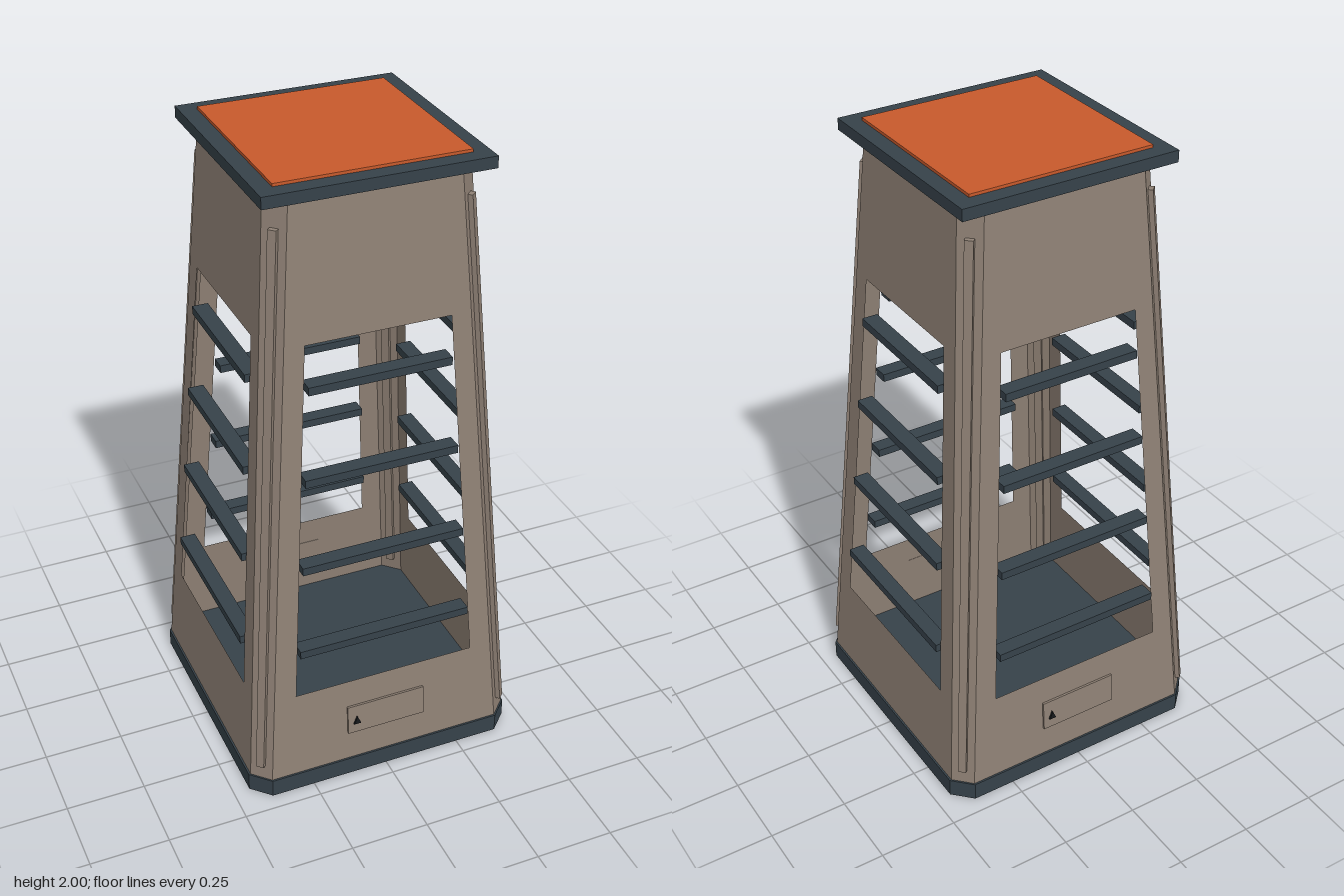
import * as THREE from 'three';

const mat = (name, color, opts = {}) => {
  const m = new THREE.MeshStandardMaterial({ color, ...opts });
  m.name = name;
  return m;
};

// Tapered body: half width of the wall at height y
const BOTTOM = 0.06, TOP = 1.955, BEVEL = 0.053;
const half = (y) => 0.442 - 0.0697 * (y - BOTTOM);
// Distance from the axis to the bevelled corner face
const cornerDist = (y) => (half(y) - BEVEL / 2) * Math.SQRT2;

// Push every vertex outward in z by a rule of its height, so it follows the slope
function lean(geometry, rule) {
  const p = geometry.attributes.position;
  for (let i = 0; i < p.count; i++) p.setZ(i, p.getZ(i) + rule(p.getY(i)));
  geometry.computeVertexNormals();
  return geometry;
}

const polygon = (points, Type = THREE.Shape) => new Type(points.map(([x, y]) => new THREE.Vector2(x, y)));
const trapezoid = (w0, y0, w1, y1, Type) => polygon([[-w0, y0], [w0, y0], [w1, y1], [-w1, y1]], Type);

export function createModel() {
  const model = new THREE.Group();
  model.name = 'slattedTower';

  const timber = mat('taupe', 0x8f8175, { side: THREE.DoubleSide });
  const steel = mat('dark slate', 0x36424a);
  const orange = mat('orange', 0xc85a2c);
  const black = mat('black', 0x15181a);

  const add = (parent, name, geometry, material) => {
    const mesh = new THREE.Mesh(geometry, material);
    mesh.name = name;
    parent.add(mesh);
    return mesh;
  };

  // Base slab with cut corners
  const a = 0.448, b = 0.39;
  const outline = polygon([[a, -b], [a, b], [b, a], [-b, a], [-a, b], [-a, -b], [-b, -a], [b, -a]]);
  const slab = new THREE.ExtrudeGeometry(outline, { depth: BOTTOM, bevelEnabled: false });
  add(model, 'base', slab.rotateX(-Math.PI / 2), steel);

  // Wall panel with a tapered opening
  const panelShape = trapezoid(half(BOTTOM) - BEVEL, BOTTOM, half(TOP) - BEVEL, TOP);
  panelShape.holes.push(trapezoid(0.297, 0.355, 0.225, 1.525, THREE.Path));
  const panel = lean(new THREE.ShapeGeometry(panelShape), half);

  // Bevelled corner face and the rib running along it
  const w = BEVEL / Math.SQRT2;
  const corner = lean(new THREE.ShapeGeometry(trapezoid(w, BOTTOM, w, TOP)), cornerDist);
  const rib = lean(new THREE.BoxGeometry(0.026, 1.76, 0.03).translate(0, 0.99, 0), cornerDist);

  const slats = [[0.51, 0.281], [0.803, 0.262], [1.095, 0.243], [1.388, 0.223]];

  for (let i = 0; i < 4; i++) {
    const side = new THREE.Group();
    side.name = 'side';
    side.rotation.y = i * Math.PI / 2;
    model.add(side);

    add(side, 'wallPanel', panel, timber);
    add(side, 'cornerFace', corner, timber).rotation.y = Math.PI / 4;
    add(side, 'cornerRib', rib, timber).rotation.y = Math.PI / 4;

    // Horizontal slats across the opening
    for (const [y, reach] of slats) {
      const slat = add(side, 'slat', new THREE.BoxGeometry(reach * 2, 0.026, 0.05), steel);
      slat.position.set(0, y, half(y) - 0.013);
    }

    // Plaque with a small triangular marker, front and back only
    if (i % 2 === 0) {
      const plaque = new THREE.BoxGeometry(0.26, 0.1, 0.008).translate(0, 0.21, 0.003);
      add(side, 'plaque', lean(plaque, half), timber);
      const tri = polygon([[-0.112, 0.195], [-0.088, 0.195], [-0.1, 0.222]]);
      const marker = new THREE.ExtrudeGeometry(tri, { depth: 0.008, bevelEnabled: false }).translate(0, 0, 0.005);
      add(side, 'marker', lean(marker, half), black);
    }
  }

  // Flat cap and coloured top plate
  add(model, 'cap', new THREE.BoxGeometry(0.69, 0.036, 0.69), steel).position.y = 1.973;
  add(model, 'topPlate', new THREE.BoxGeometry(0.588, 0.009, 0.588), orange).position.y = 1.9955;

  return model;
}
